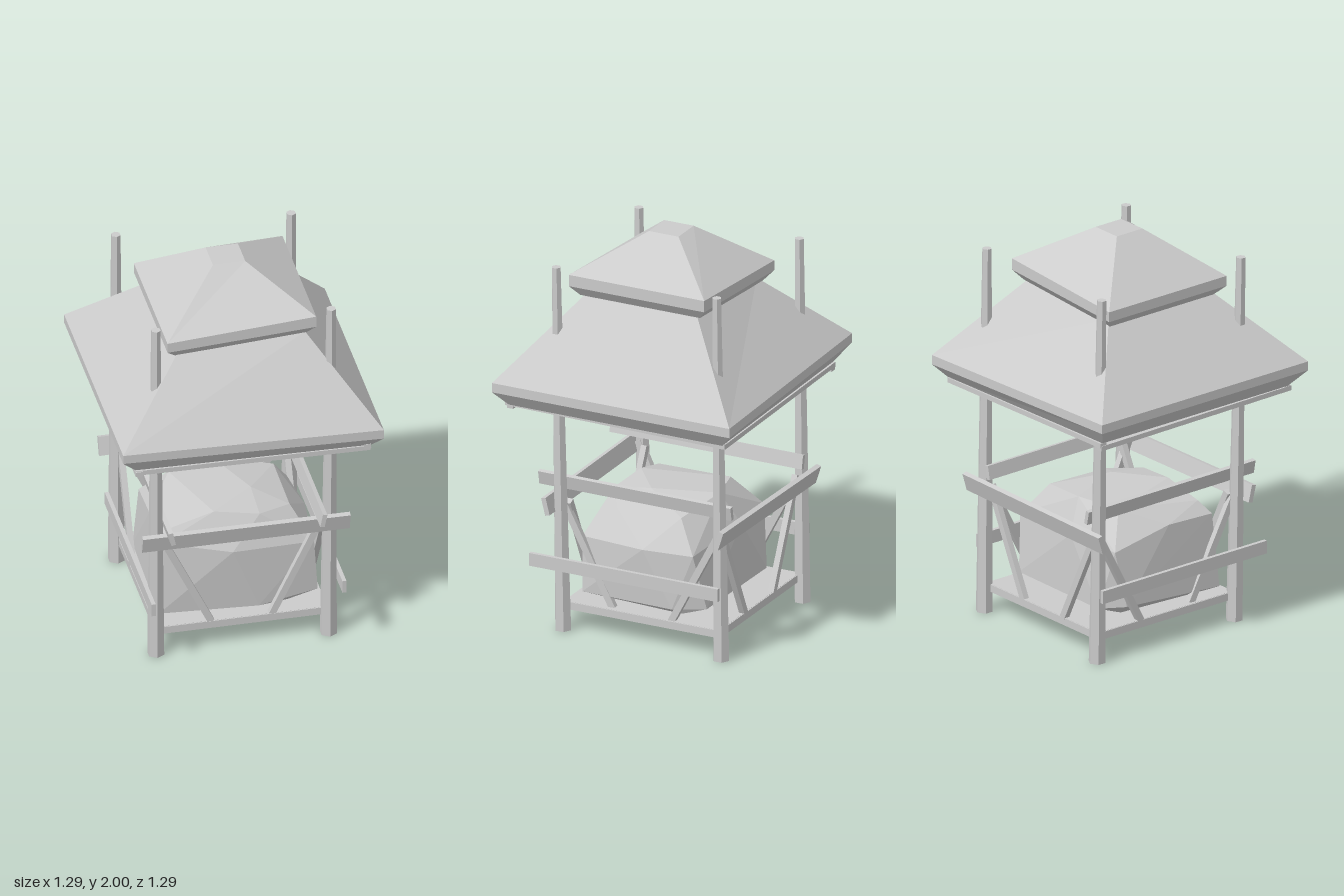
import * as THREE from 'three';
import { ConvexGeometry } from 'three/addons/geometries/ConvexGeometry.js';

const material = new THREE.MeshStandardMaterial({ color: 0xcccccc, flatShading: true });
const V = (x, y, z) => new THREE.Vector3(x, y, z);

export function createModel() {
  const model = new THREE.Group();
  model.name = 'shelter';

  const add = (name, geometry) => {
    const mesh = new THREE.Mesh(geometry, material);
    mesh.name = name;
    model.add(mesh);
    return mesh;
  };

  // A plank between two points; height lies in the vertical plane, roll leans it
  const plank = (name, a, b, height, thickness, roll = 0) => {
    const mesh = add(name, new THREE.BoxGeometry(thickness, height, a.distanceTo(b)));
    mesh.position.copy(a).add(b).multiplyScalar(0.5);
    mesh.lookAt(b);
    mesh.rotateZ(roll);
  };

  // A tapering six-sided post between two points
  const post = (name, a, b, r0, r1) => {
    const mesh = add(name, new THREE.CylinderGeometry(r1, r0, a.distanceTo(b), 6));
    mesh.position.copy(a).add(b).multiplyScalar(0.5);
    mesh.quaternion.setFromUnitVectors(V(0, 1, 0), b.clone().sub(a).normalize());
  };

  // Square rings [halfWidth, y, slope along x, x offset], joined from bottom to top
  const roof = (name, rings) => {
    const corners = rings.map(([h, y, slope, cx]) =>
      [[-1, 1], [1, 1], [1, -1], [-1, -1]].map(([sx, sz]) => V(cx + sx * h, y + slope * sx * h, sz * h)));
    const points = [];
    const quad = (a, b, c, d) => points.push(a, b, c, a, c, d);
    for (let i = 0; i < corners.length - 1; i++) {
      for (let j = 0; j < 4; j++) {
        const k = (j + 1) % 4;
        quad(corners[i][j], corners[i][k], corners[i + 1][k], corners[i + 1][j]);
      }
    }
    const [p, q, r, s] = corners[0];
    quad(s, r, q, p);
    quad(...corners[corners.length - 1]);
    const geometry = new THREE.BufferGeometry().setFromPoints(points);
    geometry.computeVertexNormals();
    add(name, geometry);
  };

  // Corner posts, running up through the roof
  for (const s of [-1, 1]) {
    post('frontPost', V(s * 0.427 + 0.006, 0, 0.367), V(s * 0.434 + 0.005, 1.88, 0.402), 0.043, 0.024);
    post('backPost', V(s * 0.427 + 0.006, 0, -0.492), V(s * 0.434 + 0.005, 1.88, -0.47), 0.043, 0.024);
  }

  // Two-tier roof, each tier slightly askew
  roof('lowerRoof', [
    [0.58, 1.195, -0.018, 0.012], [0.645, 1.275, -0.03, 0],
    [0.645, 1.322, -0.028, 0], [0.31, 1.7, 0.02, 0.02],
  ]);
  roof('upperRoof', [
    [0.325, 1.69, 0.065, 0.01], [0.368, 1.74, 0.06, 0.005],
    [0.368, 1.795, 0.07, 0.005], [0.08, 2, 0, 0.007],
  ]);

  // Eave battens beneath the lower roof
  for (const s of [-1, 1]) {
    plank('eaveBatten', V(-0.57, 1.195, s * 0.575), V(0.59, 1.178, s * 0.575), 0.025, 0.035);
    plank('sideEaveBatten', V(s * 0.565 + 0.01, 1.18, -0.59), V(s * 0.565 + 0.01, 1.192, 0.6), 0.025, 0.035);
  }

  // Floor panel set into a frame of beams
  add('floor', new THREE.BoxGeometry(0.84, 0.02, 0.84)).position.set(0.005, 0.135, -0.058);
  for (const s of [-1, 1]) {
    plank('floorBeam', V(-0.42, 0.125, s * 0.41 - 0.058), V(0.43, 0.125, s * 0.41 - 0.058), 0.038, 0.03);
    plank('sideFloorBeam', V(s * 0.41 + 0.005, 0.125, -0.47), V(s * 0.41 + 0.005, 0.125, 0.36), 0.038, 0.03);
  }

  // Rails: front and back outside the posts, two on each side
  plank('frontRail', V(-0.5, 0.665, 0.415), V(0.528, 0.66, 0.415), 0.09, 0.025, 0.25);
  plank('backRail', V(-0.502, 0.64, -0.525), V(0.528, 0.655, -0.525), 0.095, 0.025, -0.3);
  for (const s of [-1, 1]) {
    plank('upperSideRail', V(s * 0.375, 0.742, -0.52), V(s * 0.375, 0.745, 0.525), 0.07, 0.022, -s * 0.2);
    plank('lowerSideRail', V(s * 0.472 + 0.005, 0.352, -0.5), V(s * 0.472 + 0.005, 0.352, 0.525), 0.066, 0.02);
  }

  // Diagonal braces on all four sides, the side ones leaning inward
  for (const s of [-1, 1]) {
    for (const z of [0.35, -0.47]) {
      plank('brace', V(s * 0.4 + 0.005, 0.66, z), V(s * 0.15 + 0.005, 0.14, z), 0.034, 0.03);
    }
    plank('sideFrontBrace', V(s * 0.405, 0.68, 0.39), V(s * 0.385, 0.14, 0.12), 0.034, 0.03);
    plank('sideBackBrace', V(s * 0.405, 0.64, -0.47), V(s * 0.405, 0.14, -0.21), 0.034, 0.03);
  }

  // Faceted boulder on the floor
  const boulder = [
    [-0.36, 0.165, 0.27], [0.25, 0.16, 0.28], [0.36, 0.165, -0.24], [-0.32, 0.165, -0.26],
    [-0.39, 0.18, 0.3], [0.1, 0.17, 0.32], [0.4, 0.2, 0.28], [0.39, 0.19, -0.2],
    [0.33, 0.2, -0.36], [-0.28, 0.2, -0.37], [-0.39, 0.22, -0.28],
    [-0.37, 0.56, 0.27], [-0.03, 0.5, 0.33], [0.38, 0.48, 0.29], [0.41, 0.48, -0.05],
    [0.38, 0.48, -0.31], [-0.05, 0.51, -0.35], [-0.35, 0.5, -0.32], [-0.37, 0.57, 0],
    [-0.31, 0.62, 0.23], [0.12, 0.65, 0.25], [0.29, 0.62, 0.15], [0.29, 0.63, -0.2],
    [0, 0.67, -0.26], [-0.23, 0.66, -0.2], [-0.1, 0.675, 0.22], [0.12, 0.68, 0.05],
  ];
  add('boulder', new ConvexGeometry(boulder.map((p) => V(...p))));

  return model;
}
